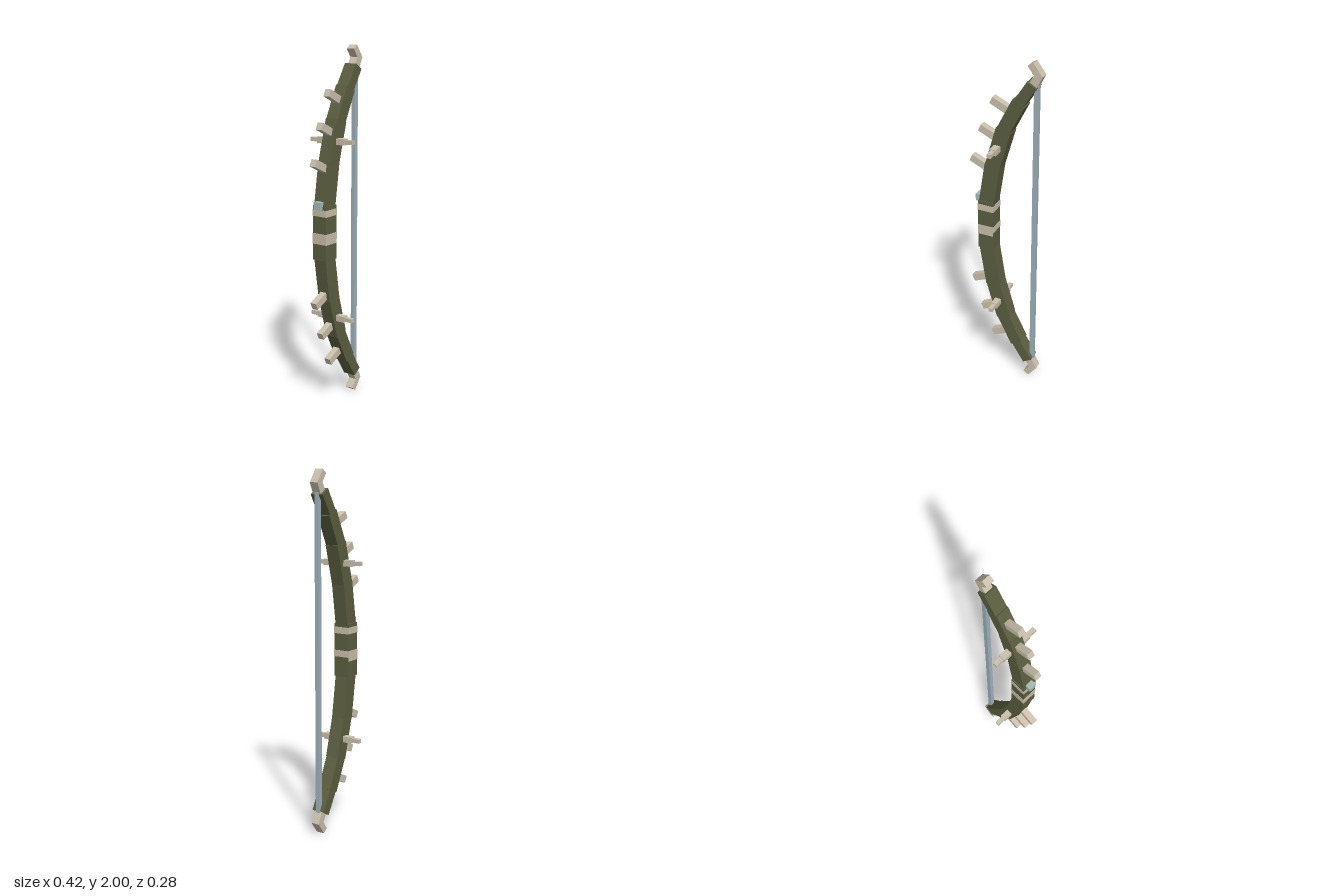
import * as THREE from 'three';

const mat = (name, hex) => {
  const m = new THREE.MeshStandardMaterial({ color: hex });
  m.name = name;
  return m;
};

export function createModel() {
  const olive = mat('olive wood', 0x5b5e40);
  const bone = mat('bone', 0xcac0ac);
  const cord = mat('blue grey cord', 0x9fb2bc);
  const teal = mat('pale teal', 0xa3bdb8);
  const model = new THREE.Group();
  const MID = 1.002; // height of the mirror plane between the limbs

  const add = (name, geo, material, x = 0, y = 0, z = 0) => {
    const mesh = new THREE.Mesh(geo, material);
    mesh.name = name;
    mesh.position.set(x, y, z);
    model.add(mesh);
    return mesh;
  };
  // Box given by its x, y and z limits
  const block = (name, m, x0, x1, y0, y1, z0, z1) =>
    add(name, new THREE.BoxGeometry(x1 - x0, y1 - y0, z1 - z0), m,
      (x0 + x1) / 2, (y0 + y1) / 2, (z0 + z1) / 2);
  // Beam between two points in the x-y plane
  const beam = (name, m, a, b, width, depth) => {
    const dx = b[0] - a[0], dy = b[1] - a[1];
    add(name, new THREE.BoxGeometry(width, Math.hypot(dx, dy), depth), m,
      (a[0] + b[0]) / 2, (a[1] + b[1]) / 2).rotation.z = Math.atan2(-dx, dy);
  };

  // Grip with its two wrapped bands
  block('grip', olive, -0.15, -0.058, 0.855, 1.157, -0.045, 0.045);
  block('upperBand', bone, -0.152, -0.056, 1.1, 1.137, -0.047, 0.047);
  block('middleBand', bone, -0.152, -0.06, 0.945, 1.005, -0.047, 0.047);
  block('middleBandInside', bone, -0.062, -0.056, 0.968, 1.005, -0.047, 0.047);
  block('arrowRest', teal, -0.174, -0.14, 1.14, 1.182, -0.022, 0.022);

  // Bowstring
  block('bowstring', cord, 0.158, 0.184, 0.125, 1.885, -0.012, 0.012);

  // Upper and lower limbs
  for (const [side, s] of [['upper', 1], ['lower', -1]]) {
    const flip = ([x, y]) => [x, MID + s * (y - MID)];

    // Limb segments: start, end, width
    [
      [[-0.107, 1.12], [-0.065, 1.385], 0.088],
      [[-0.071, 1.36], [0, 1.607], 0.085],
      [[-0.008, 1.59], [0.084, 1.774], 0.075],
      [[0.074, 1.757], [0.155, 1.885], 0.059],
    ].forEach(([a, b, w], i) =>
      beam(`${side}Limb${i + 1}`, olive, flip(a), flip(b), w, 0.077 - i * 0.0005));

    // Prongs on the outer edge
    [
      [[-0.078, 1.757], [0.015, 1.713]],
      [[-0.146, 1.587], [-0.045, 1.541]],
      [[-0.2, 1.398], [-0.095, 1.35]],
    ].forEach(([a, b], i) =>
      beam(`${side}Prong${i + 1}`, bone, flip(a), flip(b), 0.041, 0.038));

    // Stepped peg through the limb
    const py = flip([0, 1.498])[1];
    block(`${side}PegCore`, bone, -0.052, -0.016, py - 0.017, py + 0.017, -0.092, 0.092);
    block(`${side}PegTip`, bone, -0.047, -0.022, py - 0.011, py + 0.011, -0.14, 0.14);

    // Hooked tip
    const outline = [[0.125, 1.875], [0.17, 1.85], [0.208, 1.932], [0.157, 2.0],
      [0.127, 1.979], [0.161, 1.934], [0.135, 1.888]];
    outline[1] = [0.175, 1.865];
    const top = flip([0, 2])[1];
    const shift = s > 0 ? 2 - top : -top; // rest the tips at heights 0 and 2
    const shape = new THREE.Shape(outline.map((p) => {
      const [x, y] = flip(p);
      return new THREE.Vector2(x, y + shift);
    }));
    add(`${side}Hook`, new THREE.ExtrudeGeometry(shape, { depth: 0.048, bevelEnabled: false }),
      bone, 0, 0, -0.024);
  }
  return model;
}
